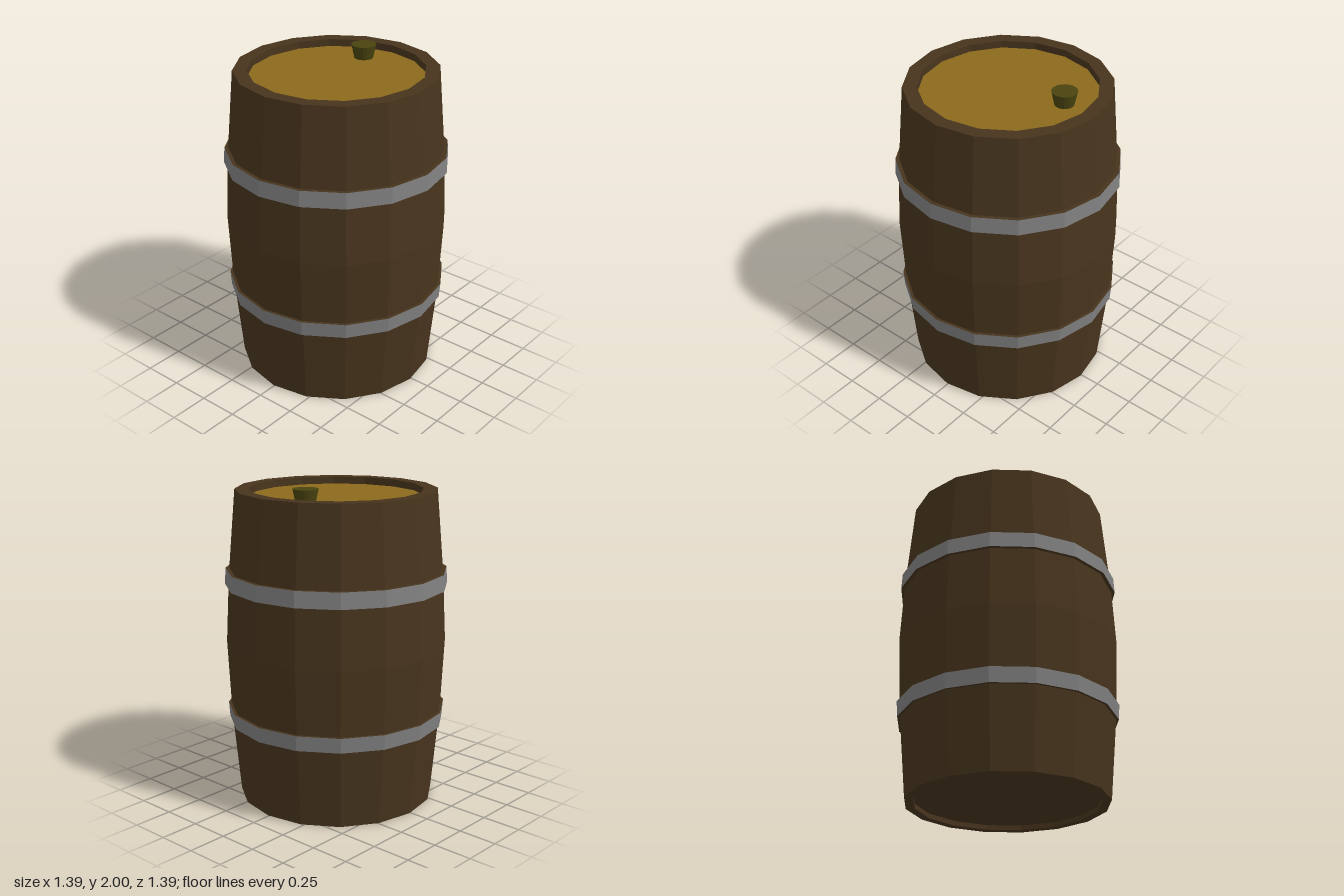
import * as THREE from 'three';

const SIDES = 16;
const WOOD = 0x47341d, LID = 0x8c6a1c, METAL = 0x808080, CORK = 0x4a440f;

function mesh(name, geometry, color) {
  const m = new THREE.Mesh(geometry, new THREE.MeshStandardMaterial({ color, flatShading: true }));
  m.name = name;
  return m;
}

// Turned part; the profile runs bottom to top so faces point outward
function turned(name, profile, color) {
  const points = profile.map(([r, y]) => new THREE.Vector2(r, y));
  return mesh(name, new THREE.LatheGeometry(points, SIDES), color);
}

// Metal band with wood-coloured upper and lower edges
function hoop(name, y0, y1, r0, r1) {
  const g = new THREE.Group();
  g.name = name;
  g.add(
    turned('hoopBand', [[r0, y0], [r1, y1]], METAL),
    turned('hoopLowerEdge', [[0.63, y0], [r0, y0]], WOOD),
    turned('hoopUpperEdge', [[r1, y1], [0.63, y1]], WOOD)
  );
  return g;
}

export function createModel() {
  const barrel = new THREE.Group();
  barrel.name = 'barrel';

  const cask = new THREE.Group();
  cask.name = 'cask';
  cask.rotation.y = -0.012;
  cask.add(
    // Bulging staves with recessed ends
    turned('staves', [
      [0, 0.03], [0.565, 0.03], [0.565, 0], [0.62, 0], [0.668, 0.53], [0.69, 1],
      [0.668, 1.42], [0.62, 1.96], [0.535, 1.96], [0.535, 1.915]
    ], WOOD),
    turned('lid', [[0.535, 1.915], [0, 1.915]], LID),
    hoop('lowerHoop', 0.5, 0.595, 0.682, 0.689),
    hoop('upperHoop', 1.37, 1.47, 0.693, 0.687)
  );

  // Tapered bung standing on the lid
  const bung = mesh('bung', new THREE.CylinderGeometry(0.077, 0.058, 0.09, 20), CORK);
  bung.position.set(-0.075, 1.955, -0.35);

  barrel.add(cask, bung);
  return barrel;
}
